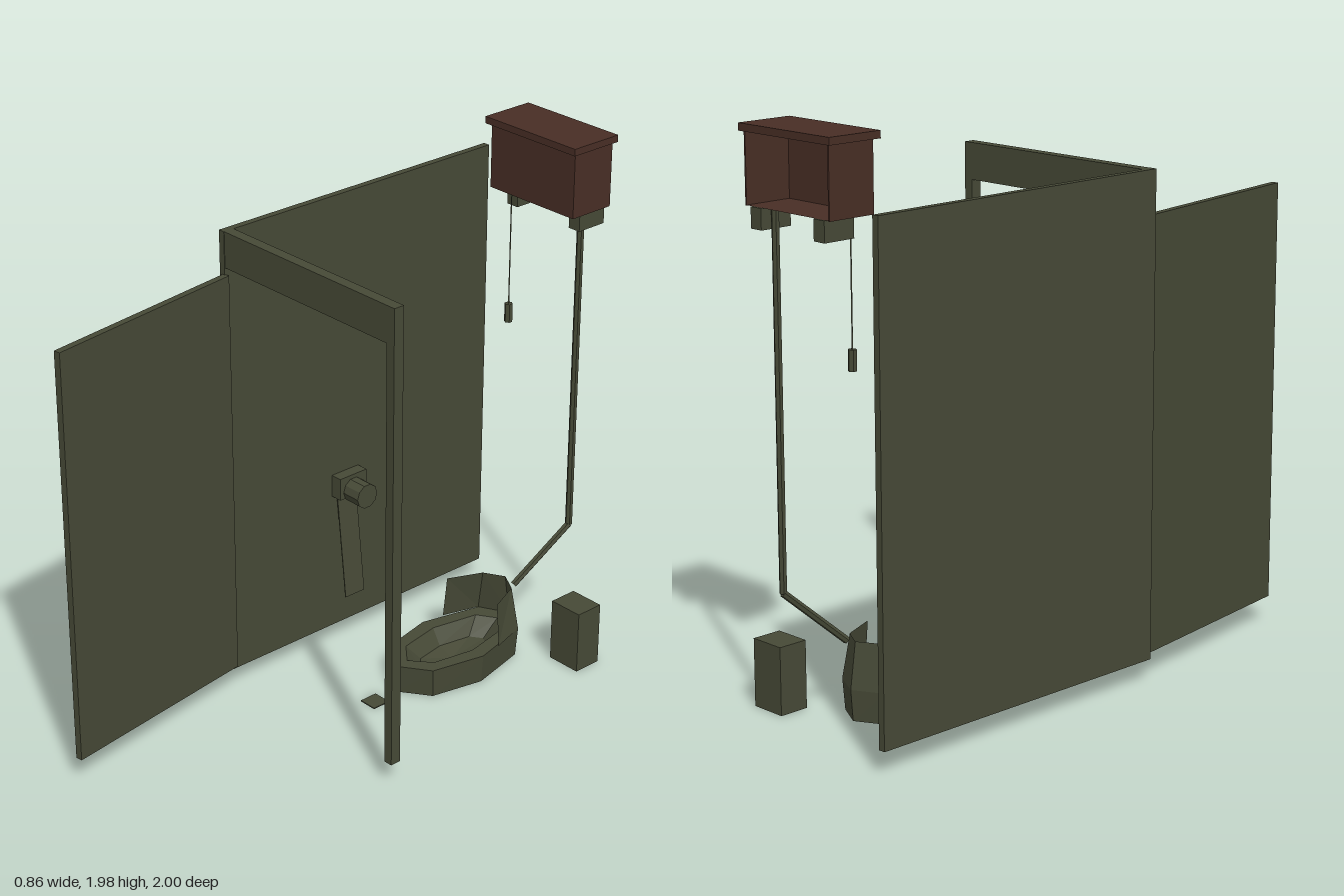
import * as THREE from 'three';

export function createModel() {
  const root = new THREE.Group();
  const green = new THREE.MeshStandardMaterial({ color: 0x464936, flatShading: true, side: THREE.DoubleSide });
  green.name = 'drabGreen';
  const brown = new THREE.MeshStandardMaterial({ color: 0x482e25, flatShading: true });
  brown.name = 'rustBrown';

  const add = (name, geometry, material = green) => {
    const mesh = new THREE.Mesh(geometry, material);
    mesh.name = name;
    root.add(mesh);
    return mesh;
  };
  // Box given by its extents on each axis
  const box = (name, [x0, x1], [y0, y1], [z0, z1], material) => {
    const mesh = add(name, new THREE.BoxGeometry(x1 - x0, y1 - y0, z1 - z0), material);
    mesh.position.set((x0 + x1) / 2, (y0 + y1) / 2, (z0 + z1) / 2);
    return mesh;
  };
  // Straight rod between two points
  const rod = (name, from, to, radius, sides) => {
    const a = new THREE.Vector3(...from), b = new THREE.Vector3(...to);
    const mesh = add(name, new THREE.CylinderGeometry(radius, radius, a.distanceTo(b), sides));
    mesh.position.copy(a).add(b).multiplyScalar(0.5);
    mesh.quaternion.setFromUnitVectors(new THREE.Vector3(0, 1, 0), b.sub(a).normalize());
    return mesh;
  };
  // Flat-faced skin through a list of rings of [x, y, z] points
  const skin = (name, rings, closed) => {
    const pos = [];
    for (let r = 0; r + 1 < rings.length; r++) {
      const a = rings[r], b = rings[r + 1], n = a.length;
      for (let i = 0; i < (closed ? n : n - 1); i++) {
        const j = (i + 1) % n;
        pos.push(...a[i], ...a[j], ...b[j], ...a[i], ...b[j], ...b[i]);
      }
    }
    const geometry = new THREE.BufferGeometry();
    geometry.setAttribute('position', new THREE.Float32BufferAttribute(pos, 3));
    geometry.computeVertexNormals();
    return add(name, geometry);
  };

  // Stall: side wall, front header and post
  box('sideWall', [-0.43, -0.405], [0.08, 1.77], [-1, 0.22]);
  box('header', [-0.405, 0.43], [1.64, 1.77], [0.178, 0.218]);
  box('frontPost', [0.395, 0.43], [0.08, 1.64], [0.178, 0.218]);

  // Door standing ajar
  const hinge = new THREE.Vector2(-0.403, 0.215), end = new THREE.Vector2(-0.285, 0.997);
  const span = end.clone().sub(hinge);
  const door = add('door', new THREE.BoxGeometry(0.025, 1.52, span.length()));
  door.position.set((hinge.x + end.x) / 2, 0.855, (hinge.y + end.y) / 2);
  door.rotation.y = Math.atan2(span.x, span.y);

  // Cistern, open at the back
  box('cisternLid', [-0.215, 0.215], [1.955, 1.98], [-1, -0.792], brown);
  box('cisternFront', [-0.2, 0.2], [1.72, 1.955], [-0.816, -0.81], brown);
  for (const s of [-1, 1]) {
    const side = box('cisternSide', [-0.003, 0.003], [1.72, 1.955], [-0.99, -0.81], brown);
    side.position.x = s * 0.197;
    const bracket = box('cisternBracket', [-0.025, 0.025], [1.65, 1.72], [-0.99, -0.87]);
    bracket.position.x = s * 0.15;
  }
  const floor = add('cisternFloor', new THREE.PlaneGeometry(0.4, 0.18), brown);
  floor.rotation.x = -Math.PI / 2;
  floor.position.set(0, 1.722, -0.9);

  // Flush pipe, pull chain and handle
  const bend = [0.108, 0.46, -0.947];
  rod('flushPipe', [0.108, 1.72, -0.947], bend, 0.013, 6);
  rod('flushPipeBend', bend, [0.05, 0.262, -0.73], 0.013, 6);
  rod('pullChain', [-0.13, 1.72, -0.845], [-0.13, 1.29, -0.845], 0.003, 4);
  rod('pullHandle', [-0.13, 1.29, -0.845], [-0.13, 1.22, -0.845], 0.015, 6);

  // Squat pan: faceted outline scaled about its centre
  const cz = -0.475;
  const outline = [[0, 0.285], [0.115, 0.205], [0.16, 0], [0.105, -0.23],
    [0, -0.285], [-0.105, -0.23], [-0.16, 0], [-0.115, 0.205]];
  const ring = (y, sx, sz) => outline.map(([x, z]) => [x * sx, y, cz + z * sz]);
  skin('pan', [
    ring(0, 0.95, 0.97), ring(0.11, 1, 1), ring(0.11, 0.65, 0.79),
    ring(0.05, 0.42, 0.55), ring(0.03, 0.01, 0.01),
  ], true);

  // Splash hood behind the pan
  const mirror = (y, half, back) => [
    ...half.map(([x, z]) => [x, y, z]), [0, y, back],
    ...half.slice().reverse().map(([x, z]) => [-x, y, z]),
  ];
  skin('panHood', [
    mirror(0.11, [[0.147, -0.565], [0.105, -0.705]], -0.76),
    mirror(0.272, [[0.13, -0.567], [0.075, -0.695]], -0.737),
  ], false);

  // Waste bin and floor plate
  box('wasteBin', [0.2, 0.335], [0, 0.238], [-0.89, -0.78]);
  box('floorPlate', [-0.035, 0.035], [0, 0.004], [-0.13, -0.06]);

  // Paper holder, roll and hanging sheet
  box('paperHolder', [-0.405, -0.36], [0.615, 0.7], [-0.375, -0.25]);
  rod('paperRoll', [-0.36, 0.64, -0.313], [-0.285, 0.64, -0.313], 0.047, 10);
  const sheet = add('paperSheet', new THREE.BoxGeometry(0.004, 0.39, 0.09));
  sheet.position.set(-0.375, 0.405, -0.313);
  sheet.rotation.z = 0.11;

  return root;
}
